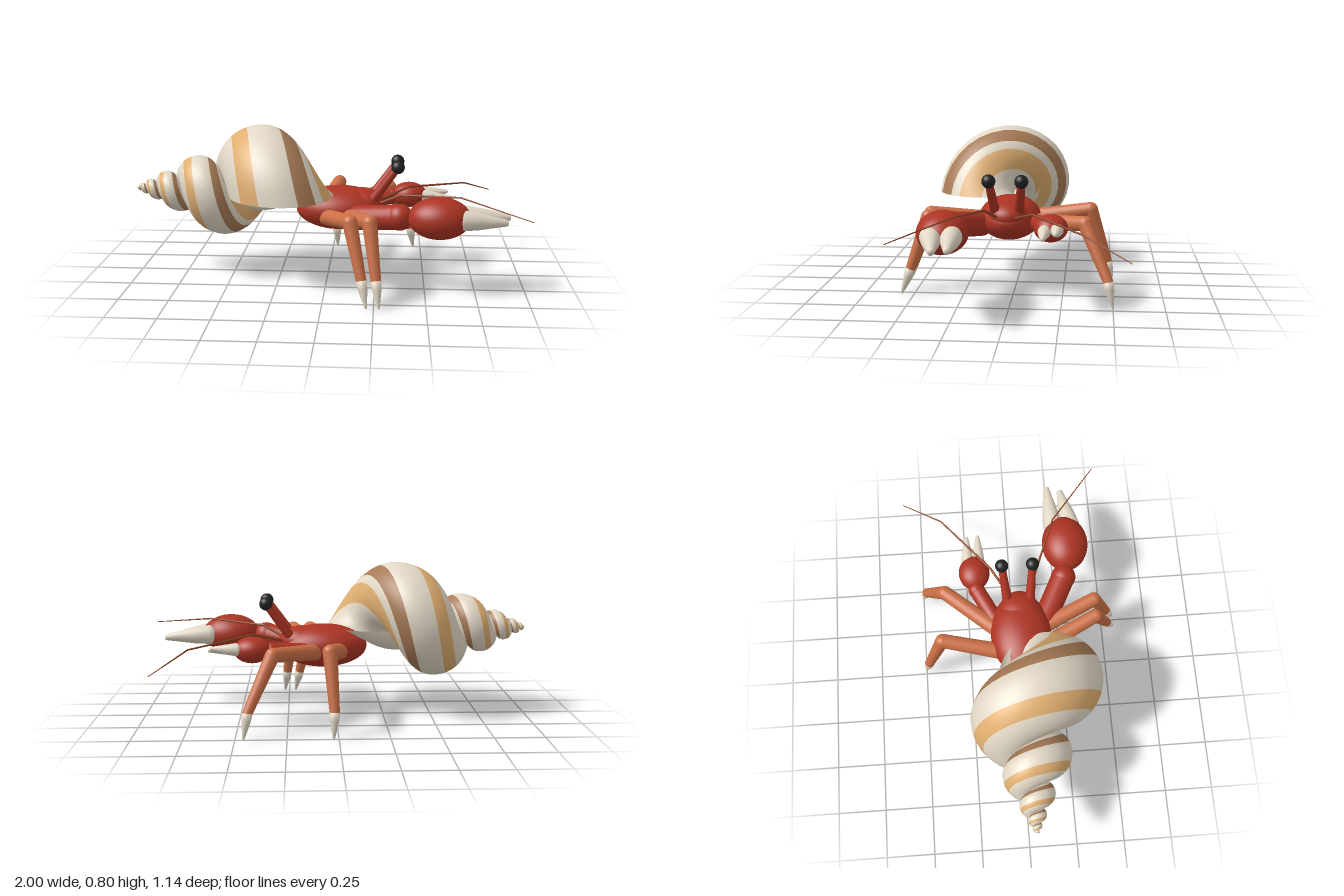
import * as THREE from 'three';

const mat = (name, color, extra = {}) => {
  const m = new THREE.MeshStandardMaterial({ color, ...extra });
  m.name = name;
  return m;
};
const V = (p) => new THREE.Vector3(...p);

export function createModel() {
  const model = new THREE.Group();
  model.name = 'hermitCrab';
  const red = mat('shellRed', 0xac3423);
  const orange = mat('legOrange', 0xcb7047);
  const ivory = mat('clawIvory', 0xe2d8c6);
  const black = mat('eyeBlack', 0x202222);
  const rust = mat('antennaRust', 0x8c4628);
  const cream = mat('shellCream', 0xe2d8c6, { side: THREE.DoubleSide });
  const tan = mat('shellTan', 0xdfae70, { side: THREE.DoubleSide });
  const brown = mat('shellBrown', 0xa67a55, { side: THREE.DoubleSide });

  function add(name, geo, material, parent = model) {
    const mesh = new THREE.Mesh(geo, material);
    mesh.name = name;
    parent.add(mesh);
    return mesh;
  }

  function ellipsoid(name, center, radii, material, parent) {
    const mesh = add(name, new THREE.SphereGeometry(1, 32, 20), material, parent);
    mesh.position.set(...center);
    mesh.scale.set(...radii);
    return mesh;
  }

  // Lathe of [radius, fraction] points stretched from a to b
  function spindle(name, a, b, profile, material, parent) {
    const dir = V(b).sub(V(a));
    const len = dir.length();
    const pts = profile.map(([r, t]) => new THREE.Vector2(r, t * len));
    const mesh = add(name, new THREE.LatheGeometry(pts, 20), material, parent);
    mesh.position.set(...a);
    mesh.quaternion.setFromUnitVectors(new THREE.Vector3(0, 1, 0), dir.normalize());
    return mesh;
  }

  // Tapered segment with a ball at each end
  function limb(name, a, b, ra, rb, material, parent) {
    spindle(name, a, b, [[ra, 0], [rb, 1]], material, parent);
    ellipsoid(name + 'Joint', a, [ra, ra, ra], material, parent);
    ellipsoid(name + 'Joint', b, [rb, rb, rb], material, parent);
  }

  // Spiral shell: a growing section swept round the x axis, coloured in bands
  function buildShell() {
    const bands = [ // end angle in degrees, steps, material index
      [-44, 22, 0], [-21, 4, 1], [22, 6, 0], [45, 4, 2], [58, 3, 0], [86, 5, 1], [180, 14, 0],
    ];
    const angles = [-180];
    const colours = [];
    for (const [end, steps, colour] of bands) {
      const start = angles[angles.length - 1];
      for (let i = 1; i <= steps; i++) {
        angles.push(start + (end - start) * i / steps);
        colours.push(colour);
      }
    }
    const perTurn = 32, rings = perTurn * 5, n = angles.length;
    const pos = [];
    for (let i = 0; i <= rings; i++) {
      const theta = i / perTurn * Math.PI * 2;
      const d = 0.81 * Math.pow(0.515, i / perTurn);
      for (const deg of angles) {
        const a = deg * Math.PI / 180;
        const along = Math.sin(a) * (deg > 0 ? 0.30 : 0.35) * d;
        const out = d * (0.165 + 0.33 * Math.cos(a));
        pos.push(-1.02 + d + along, 0.455 + out * Math.sin(theta), 0.03 + out * Math.cos(theta));
      }
    }
    const geo = new THREE.BufferGeometry();
    const index = [];
    for (let c = 0; c < 3; c++) {
      const start = index.length;
      for (let i = 0; i < rings; i++) {
        for (let j = 0; j < n - 1; j++) {
          if (colours[j] !== c) continue;
          const p = i * n + j, q = p + n;
          index.push(p, p + 1, q, p + 1, q + 1, q);
        }
      }
      geo.addGroup(start, index.length - start, c);
    }
    geo.setAttribute('position', new THREE.Float32BufferAttribute(pos, 3));
    geo.setIndex(index);
    geo.computeVertexNormals();
    add('spiralShell', geo, [cream, tan, brown]);
    ellipsoid('shellTip', [-0.992, 0.455, 0.03], [0.008, 0.01, 0.01], cream);
  }
  buildShell();

  // Body and head
  ellipsoid('body', [0.065, 0.365, 0.03], [0.23, 0.112, 0.16], red);
  ellipsoid('head', [0.175, 0.395, 0.03], [0.12, 0.073, 0.11], red);

  // Eyes on stalks
  for (const s of [1, -1]) {
    const eye = [0.36, 0.595, 0.03 + s * 0.08];
    limb('eyeStalk', [0.235, 0.42, 0.03 + s * 0.06], eye, 0.026, 0.019, red);
    ellipsoid('eye', eye, [0.034, 0.034, 0.034], black);
  }

  // Antennae
  const antennae = [
    [[0.25, 0.39, 0.07], [0.38, 0.455, 0.13], [0.67, 0.475, 0.245], [0.995, 0.42, 0.49]],
    [[0.25, 0.39, 0.0], [0.42, 0.445, -0.11], [0.73, 0.415, -0.36], [0.89, 0.33, -0.57]],
  ];
  for (const pts of antennae) {
    for (let i = 0; i < 3; i++) {
      limb('antenna', pts[i], pts[i + 1], 0.008 - i * 0.002, 0.006 - i * 0.002, rust);
    }
  }

  // Claws: arm, wrist, palm and two blunt fingers
  function claw(name, c) {
    const g = new THREE.Group();
    g.name = name;
    model.add(g);
    limb('arm', c.shoulder, c.wrist, c.arm, c.arm, red, g);
    ellipsoid('wrist', c.wrist, [c.arm * 1.05, c.arm * 1.05, c.arm * 1.05], red, g);
    ellipsoid('palm', c.palm, c.radii, red, g);
    const r = c.finger;
    for (const [base, tip] of c.fingers) {
      spindle('finger', base, tip,
        [[0, 0], [r * 0.9, 0], [r, 0.15], [r * 0.82, 0.45], [r * 0.3, 0.99], [0, 1]], ivory, g);
    }
  }
  claw('largeClaw', {
    shoulder: [0.16, 0.345, 0.17], wrist: [0.37, 0.38, 0.28], arm: 0.063,
    palm: [0.565, 0.384, 0.305], radii: [0.155, 0.104, 0.124], finger: 0.052,
    fingers: [[[0.64, 0.388, 0.35], [0.9, 0.365, 0.305]], [[0.64, 0.388, 0.25], [0.92, 0.375, 0.232]]],
  });
  claw('smallClaw', {
    shoulder: [0.16, 0.355, -0.1], wrist: [0.33, 0.375, -0.19], arm: 0.042,
    palm: [0.425, 0.383, -0.197], radii: [0.095, 0.067, 0.083], finger: 0.032,
    fingers: [[[0.48, 0.383, -0.17], [0.65, 0.375, -0.168]], [[0.48, 0.388, -0.23], [0.635, 0.395, -0.228]]],
  });

  // Walking legs: hip, knee, ankle, toe
  const legs = [
    ['rearLeftLeg', [-0.01, 0.335, 0.12], [0.13, 0.39, 0.43], [0.19, 0.125, 0.52], [0.215, 0, 0.565]],
    ['frontLeftLeg', [0.1, 0.34, 0.13], [0.225, 0.39, 0.43], [0.26, 0.125, 0.52], [0.275, 0, 0.565]],
    ['rearRightLeg', [-0.02, 0.35, -0.08], [0.04, 0.405, -0.385], [0.02, 0.125, -0.475], [0.025, 0, -0.5]],
    ['frontRightLeg', [0.11, 0.35, -0.1], [0.32, 0.385, -0.36], [0.44, 0.125, -0.475], [0.46, 0, -0.5]],
  ];
  for (const [name, hip, knee, ankle, toe] of legs) {
    const g = new THREE.Group();
    g.name = name;
    model.add(g);
    limb('upperLeg', hip, knee, 0.042, 0.037, orange, g);
    limb('lowerLeg', knee, ankle, 0.037, 0.025, orange, g);
    spindle('toe', ankle, toe, [[0, 0], [0.026, 0], [0.023, 0.3], [0.005, 0.99], [0, 1]], ivory, g);
  }
  return model;
}
